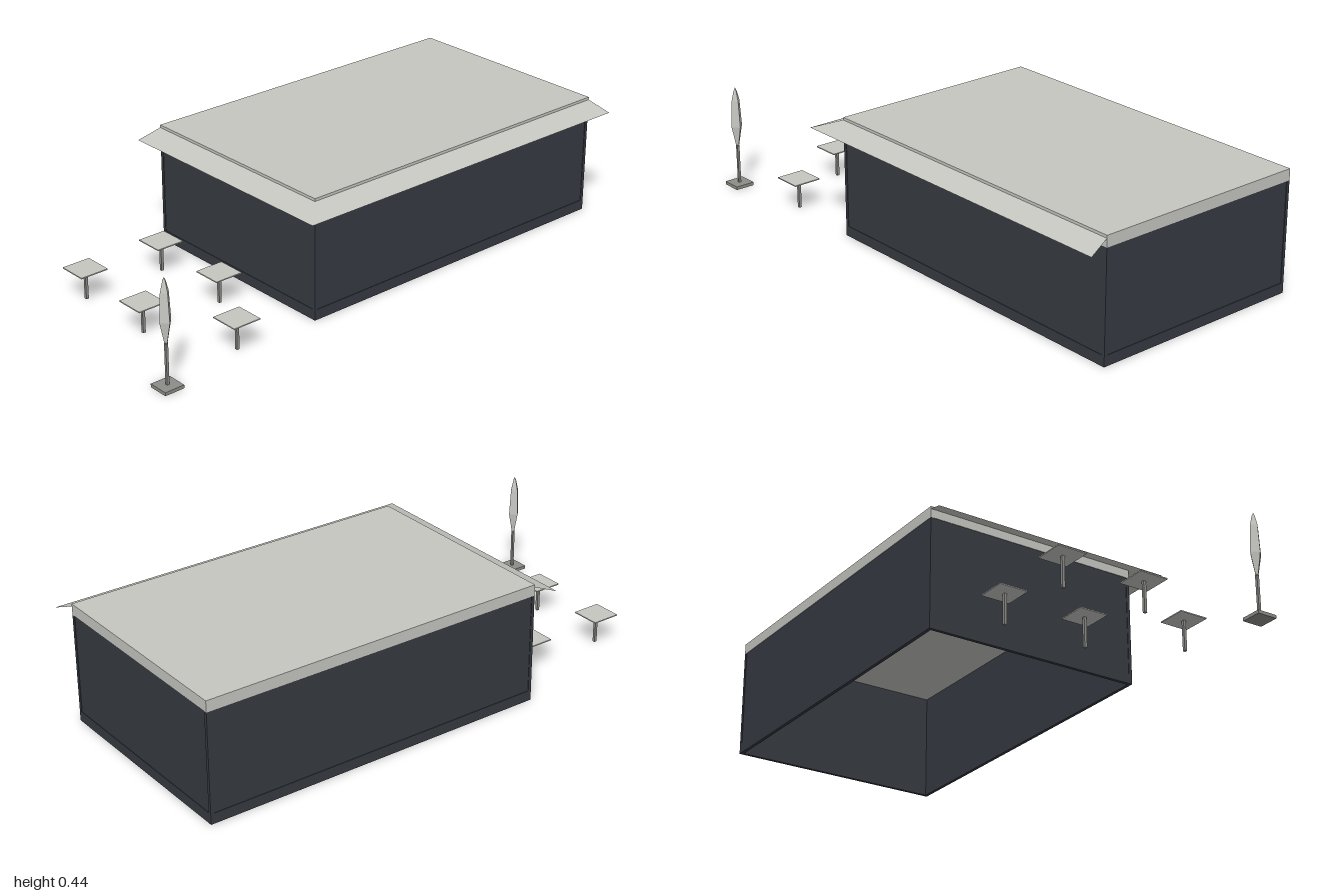
import * as THREE from 'three';

const mat = (name, color, side = THREE.FrontSide) => {
  const m = new THREE.MeshStandardMaterial({ color, side, flatShading: true });
  m.name = name;
  return m;
};

export function createModel() {
  const model = new THREE.Group();
  model.name = 'pavilion';
  const dark = mat('charcoal', 0x363b42);
  const pale = mat('paleGrey', 0xc6c6c1, THREE.DoubleSide);
  const grey = mat('midGrey', 0x8c8c88);

  const add = (parent, name, geometry, material, x = 0, y = 0, z = 0) => {
    const mesh = new THREE.Mesh(geometry, material);
    mesh.name = name;
    mesh.position.set(x, y, z);
    parent.add(mesh);
    return mesh;
  };
  // Box given by its two extreme corners
  const box = (parent, name, a, b, material) =>
    add(parent, name, new THREE.BoxGeometry(b[0] - a[0], b[1] - a[1], b[2] - a[2]), material,
      (a[0] + b[0]) / 2, (a[1] + b[1]) / 2, (a[2] + b[2]) / 2);

  // Hall, open underneath: four thin walls with a slightly proud frame
  const X0 = -0.44, X1 = 0.374, Z0 = -0.98, Z1 = 0.332, EAVE = 0.402, T = 0.012, IN = 0.002;
  const hall = new THREE.Group();
  hall.name = 'hall';
  model.add(hall);
  box(hall, 'frontWall', [X0 + T, 0.038, Z1 - T], [X1 - T, EAVE, Z1 - IN], dark);
  box(hall, 'backWall', [X0 + T, 0.038, Z0 + IN], [X1 - T, EAVE, Z0 + T], dark);
  box(hall, 'leftWall', [X1 - T, 0.038, Z0 + T], [X1 - IN, EAVE, Z1 - T], dark);
  box(hall, 'rightWall', [X0 + IN, 0.038, Z0 + T], [X0 + T, EAVE, Z1 - T], dark);
  for (const x of [X0, X1 - T]) {
    box(hall, 'sidePlinth', [x, 0, Z0 + T], [x + T, 0.038, Z1 - T], dark);
    for (const z of [Z0, Z1 - T]) box(hall, 'cornerPost', [x, 0, z], [x + T, EAVE, z + T], dark);
  }
  for (const z of [Z0, Z1 - T]) box(hall, 'endPlinth', [X0 + T, 0, z], [X1 - T, 0.038, z + T], dark);

  // Flat roof
  box(model, 'roof', [X0, EAVE, Z0], [X1, 0.443, Z1], pale);

  // Sloping canopy along the front and one long side
  const inner = [[X0, Z1], [X1, Z1], [X1, Z0]];
  const outer = [[-0.46, 0.414], [0.456, 0.414], [0.456, -1.0]];
  const corners = [];
  for (let i = 0; i < 2; i++) {
    const a = [inner[i][0], 0.433, inner[i][1]], b = [inner[i + 1][0], 0.433, inner[i + 1][1]];
    const c = [outer[i][0], EAVE, outer[i][1]], d = [outer[i + 1][0], EAVE, outer[i + 1][1]];
    corners.push(...a, ...c, ...d, ...a, ...d, ...b);
  }
  const canopy = new THREE.BufferGeometry();
  canopy.setAttribute('position', new THREE.Float32BufferAttribute(corners, 3));
  canopy.computeVertexNormals();
  add(model, 'canopy', canopy, pale);

  // Square tables on single posts
  for (const [x, z] of [[-0.253, 0.485], [-0.253, 0.803], [0.064, 0.485], [0.064, 0.803], [0.352, 0.645]]) {
    const table = new THREE.Group();
    table.name = 'table';
    table.position.set(x, 0, z);
    model.add(table);
    add(table, 'tableTop', new THREE.BoxGeometry(0.107, 0.004, 0.107), pale, 0, 0.112, 0);
    add(table, 'tablePost', new THREE.BoxGeometry(0.01, 0.11, 0.01), grey, 0, 0.055, 0);
  }

  // Closed parasol on a square foot
  const parasol = new THREE.Group();
  parasol.name = 'parasol';
  parasol.position.set(0.399, 0, 0.963);
  model.add(parasol);
  add(parasol, 'parasolFoot', new THREE.BoxGeometry(0.074, 0.012, 0.074), grey, 0, 0.006, 0);
  add(parasol, 'parasolPole', new THREE.BoxGeometry(0.009, 0.15, 0.009), grey, 0, 0.085, 0);
  const profile = [[0.004, 0.148], [0.023, 0.235], [0.017, 0.335], [0.007, 0.372], [0, 0.385]]
    .map(([r, y]) => new THREE.Vector2(r, y));
  add(parasol, 'parasolCloth', new THREE.LatheGeometry(profile, 4), pale);
  return model;
}
